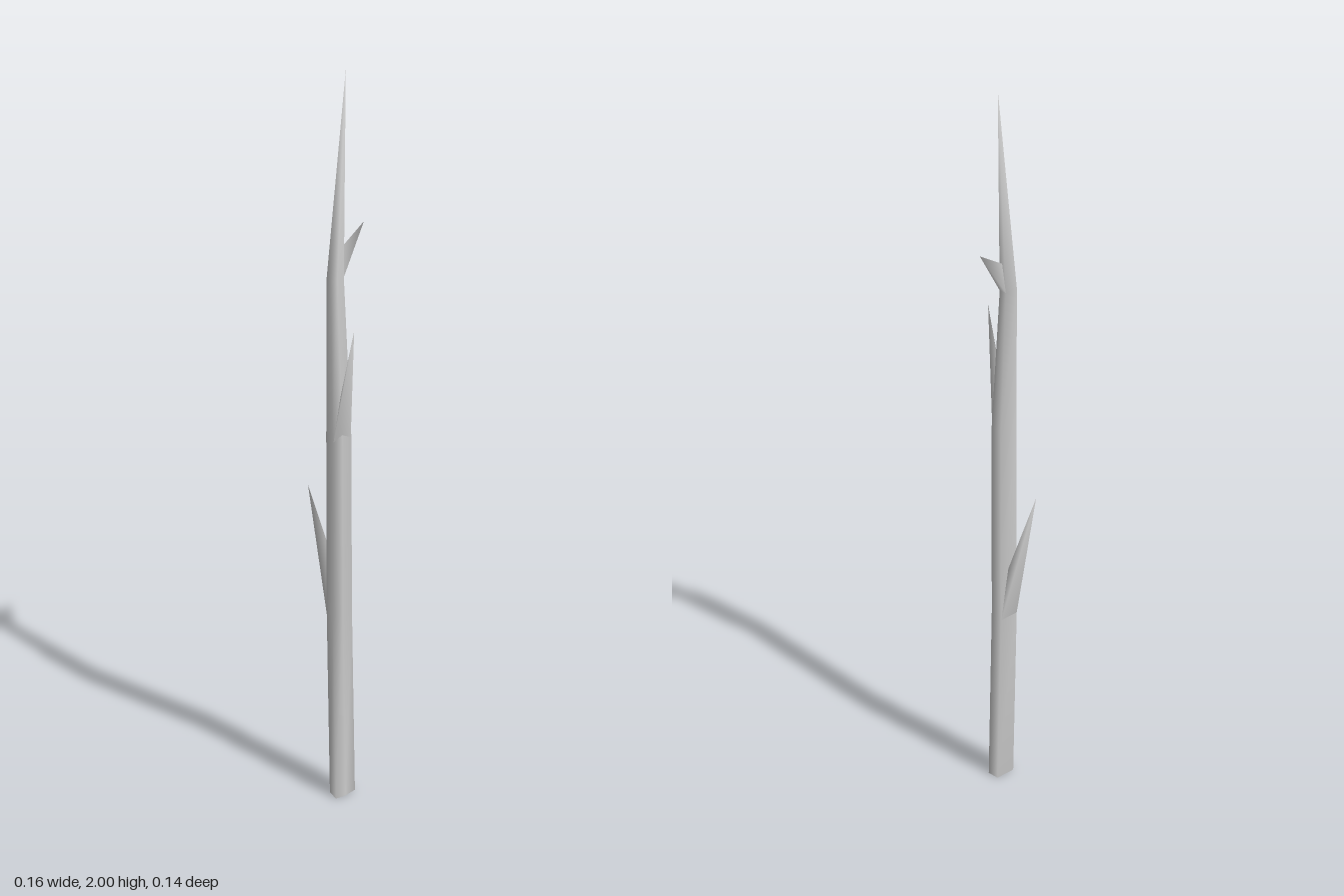
import * as THREE from 'three';

// Skin a list of rings (equal point counts, counterclockwise from above) and close to a tip
function loft(rings, tip, capBottom) {
  const n = rings[0].length;
  const pos = [...rings.flat(2), ...tip];
  const index = [];
  const tipId = rings.length * n;
  rings.forEach((ring, r) => {
    for (let i = 0; i < n; i++) {
      const j = (i + 1) % n;
      const a = r * n + i, b = r * n + j;
      if (r === rings.length - 1) index.push(a, b, tipId);
      else index.push(a, b, b + n, a, b + n, a + n);
    }
  });
  if (capBottom) {
    // separate vertices keep the cut end crisp
    const start = pos.length / 3;
    pos.push(...rings[0].flat());
    for (let i = 1; i < n - 1; i++) index.push(start, start + i + 1, start + i);
  }
  const geo = new THREE.BufferGeometry();
  geo.setAttribute('position', new THREE.Float32BufferAttribute(pos, 3));
  geo.setIndex(index);
  geo.computeVertexNormals();
  return geo;
}

export function createModel() {
  const group = new THREE.Group();
  group.name = 'twig';
  const mat = new THREE.MeshStandardMaterial({ color: 0xcccccc, side: THREE.DoubleSide });
  const add = (name, geo) => {
    const mesh = new THREE.Mesh(geo, mat);
    mesh.name = name;
    group.add(mesh);
  };

  // Five-sided stem section, swept through the bends of the stem
  const section = [[-1, 0.8], [0.6, 1], [1, 0.1], [1, -1], [-0.6, -0.9]];
  const bends = [ // y, centre x, centre z, half width x, half width z
    [0, -0.002, 0.013, 0.019, 0.031],
    [0.57, -0.019, 0.007, 0.019, 0.029],
    [1.1, 0.017, 0.041, 0.018, 0.027],
    [1.5, -0.015, 0.021, 0.011, 0.019],
  ];
  const rings = bends.map(([y, cx, cz, rx, rz]) =>
    section.map(([u, v]) => [cx + u * rx, y, cz + v * rz]));
  add('stem', loft(rings, [-0.004, 2, -0.004], true));

  // Three-sided side shoots springing from the bends
  add('lowerShoot', loft(
    [[[-0.038, 0.56, 0.03], [-0.024, 0.7, 0.012], [-0.033, 0.56, -0.02]]],
    [-0.082, 0.93, 0.05]));
  add('middleShoot', loft(
    [[[0.028, 1.1, 0.066], [0.035, 1.1, 0.016], [0.02, 1.2, 0.038]]],
    [0.08, 1.41, 0.048]));
  add('upperShoot', loft(
    [[[-0.012, 1.57, 0.009], [-0.004, 1.5, 0.003], [-0.022, 1.5, 0.005]]],
    [-0.01, 1.62, -0.067]));

  return group;
}
